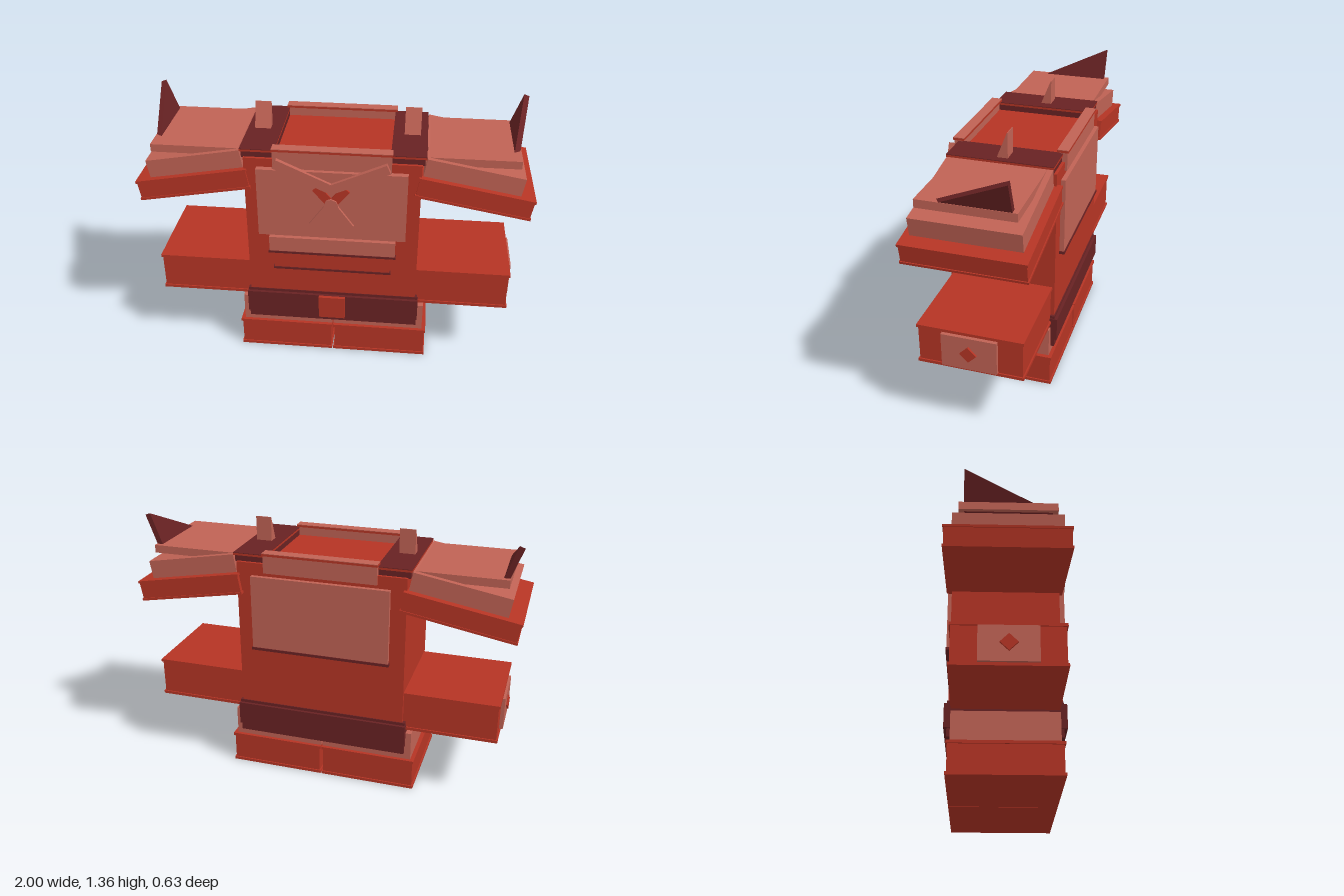
import * as THREE from 'three';

const mat = (name, color) => {
  const m = new THREE.MeshStandardMaterial({ color });
  m.name = name;
  return m;
};

export function createModel() {
  const red = mat('armour red', 0xb53424);
  const pink = mat('pale red', 0xbf6254);
  const dark = mat('dark maroon', 0x682223);
  const model = new THREE.Group();
  model.name = 'blockyFigure';

  // Box given by its limits on each axis
  function box(parent, name, material, x0, x1, y0, y1, z0, z1) {
    const mesh = new THREE.Mesh(new THREE.BoxGeometry(x1 - x0, y1 - y0, z1 - z0), material);
    mesh.position.set((x0 + x1) / 2, (y0 + y1) / 2, (z0 + z1) / 2);
    mesh.name = name;
    parent.add(mesh);
    return mesh;
  }

  // Box with a slightly wider lip along its top and bottom
  function lippedBox(parent, name, material, x0, x1, y0, y1, z0, z1, lip = 0.015, out = 0.007) {
    const g = new THREE.Group();
    g.name = name;
    box(g, name + 'Core', material, x0 + out, x1 - out, y0 + lip, y1 - lip, z0 + out, z1 - out);
    box(g, name + 'LowerLip', material, x0, x1, y0, y0 + lip, z0, z1);
    box(g, name + 'UpperLip', material, x0, x1, y1 - lip, y1, z0, z1);
    parent.add(g);
    return g;
  }

  // Flat bar on the chest between two points
  function bar(name, material, xa, ya, xb, yb, width, z0, z1) {
    const mesh = new THREE.Mesh(
      new THREE.BoxGeometry(Math.hypot(xb - xa, yb - ya), width, z1 - z0), material);
    mesh.position.set((xa + xb) / 2, (ya + yb) / 2, (z0 + z1) / 2);
    mesh.rotation.z = Math.atan2(yb - ya, xb - xa);
    mesh.name = name;
    model.add(mesh);
  }

  // Prism with its profile in the z-y plane, centred across x
  function prism(name, material, points, width) {
    const shape = new THREE.Shape(points.map(([z, y]) => new THREE.Vector2(-z, y)));
    const geo = new THREE.ExtrudeGeometry(shape, { depth: width, bevelEnabled: false });
    geo.translate(0, 0, -width / 2).rotateY(Math.PI / 2);
    const mesh = new THREE.Mesh(geo, material);
    mesh.name = name;
    return mesh;
  }

  // Torso, belt and buckle
  box(model, 'torso', red, -0.44, 0.44, 0.385, 1.175, -0.285, 0.265);
  box(model, 'belt', dark, -0.453, 0.453, 0.205, 0.39, -0.29, 0.268);
  box(model, 'beltBand', dark, -0.457, 0.457, 0.25, 0.375, -0.305, 0.284);
  box(model, 'buckle', red, -0.07, 0.07, 0.245, 0.375, 0.28, 0.302);

  // Chest, belly and back plates
  box(model, 'chestPlate', pink, -0.375, 0.375, 0.755, 1.13, 0.26, 0.296);
  box(model, 'upperBellyPlate', pink, -0.325, 0.325, 0.652, 0.735, 0.26, 0.288);
  box(model, 'upperBellyEdge', dark, -0.33, 0.33, 0.64, 0.652, 0.26, 0.291);
  box(model, 'lowerBellyPlate', red, -0.3, 0.3, 0.553, 0.638, 0.26, 0.286);
  box(model, 'lowerBellyEdge', dark, -0.307, 0.307, 0.541, 0.553, 0.26, 0.29);
  box(model, 'backPlate', pink, -0.36, 0.36, 0.722, 1.11, -0.308, -0.28);
  box(model, 'backPlateEdge', dark, -0.365, 0.365, 0.708, 0.722, -0.312, -0.28);

  // Collar rails at front and back
  for (const [name, z0, z1, c0, c1] of [
    ['frontCollar', 0.235, 0.275, 0.225, 0.281], ['backCollar', -0.297, -0.257, -0.303, -0.247]]) {
    box(model, name, pink, -0.293, 0.293, 1.13, 1.222, z0, z1);
    box(model, name + 'Trim', red, -0.296, 0.296, 1.222, 1.233, c0, c1);
    box(model, name + 'Cap', pink, -0.296, 0.296, 1.233, 1.236, c0, c1);
  }

  // Chest ornament
  for (const s of [-1, 1]) {
    bar('ornamentWing', pink, s * 0.28, 1.172, 0, 1.045, 0.05, 0.29, s > 0 ? 0.315 : 0.313);
    bar('ornamentArm', red, s * 0.075, 1.045, 0, 0.955, 0.045, 0.29, s > 0 ? 0.307 : 0.305);
    bar('ornamentLeg', pink, 0, 0.955, s * 0.095, 0.825, 0.046, 0.29, s > 0 ? 0.312 : 0.31);
  }
  const disc = new THREE.Mesh(new THREE.CylinderGeometry(0.036, 0.036, 0.025, 8), pink);
  disc.rotation.x = Math.PI / 2;
  disc.position.set(0, 0.955, 0.304);
  disc.name = 'ornamentDisc';
  model.add(disc);

  for (const s of [-1, 1]) {
    const tag = s > 0 ? 'left' : 'right';
    // Box limits mirrored to this side
    const sided = (fn, parent, name, m, a, b, ...rest) =>
      fn(parent, tag + name, m, Math.min(s * a, s * b), Math.max(s * a, s * b), ...rest);

    // Foot and shin
    sided(lippedBox, model, 'Foot', red, 0.003, 0.508, 0, 0.168, -0.29, 0.268);
    sided(box, model, 'Leg', pink, 0.003, 0.487, 0.16, 0.322, -0.272, 0.25);

    // Lower arm with end plate and diamond
    sided(lippedBox, model, 'Arm', red, 0.43, 0.926, 0.345, 0.555, -0.273, 0.25);
    sided(box, model, 'ArmEndPlate', pink, 0.91, 0.938, 0.36, 0.535, -0.147, 0.125);
    const diamond = sided(box, model, 'ArmDiamond', red, 0.93, 0.948, 0.42, 0.478, -0.039, 0.019);
    diamond.rotation.x = Math.PI / 4;

    // Sloping shoulder with two stacked slabs
    const shoulder = new THREE.Group();
    shoulder.name = tag + 'Shoulder';
    shoulder.position.set(s * 0.703, 1.013, 0);
    shoulder.rotation.z = -s * Math.PI / 18;
    model.add(shoulder);
    sided(lippedBox, shoulder, 'ShoulderBase', red, -0.29, 0.29, -0.054, 0.054, -0.312, 0.282, 0.012, 0.005);
    sided(box, shoulder, 'ShoulderSlab', pink, -0.27, 0.216, 0.05, 0.148, -0.273, 0.25);
    sided(box, model, 'ShoulderTop', pink, 0.455, 0.915, 1.163, 1.204, -0.245, 0.225);

    // Leaning shoulder fin
    const fin = prism(tag + 'ShoulderFin', dark, [[0.2, -0.045], [0.2, -0.04], [-0.22, 0.165], [-0.22, -0.045]], 0.028);
    fin.position.set(s * 0.898, 1.205, 0);
    fin.rotation.z = -s * 0.35;
    model.add(fin);

    // Neck side plate and small wedge horn
    sided(box, model, 'NeckPlate', dark, 0.285, 0.452, 1.17, 1.204, -0.27, 0.25);
    sided(box, model, 'NeckPlateTrim', red, 0.285, 0.46, 1.204, 1.215, -0.275, 0.255);
    sided(box, model, 'NeckPlateTop', dark, 0.285, 0.46, 1.215, 1.218, -0.275, 0.255);
    const horn = prism(tag + 'Horn', pink, [[0.016, 1.21], [-0.038, 1.345], [-0.042, 1.345], [-0.042, 1.21]], 0.082);
    horn.position.x = s * 0.383;
    model.add(horn);
  }
  return model;
}
